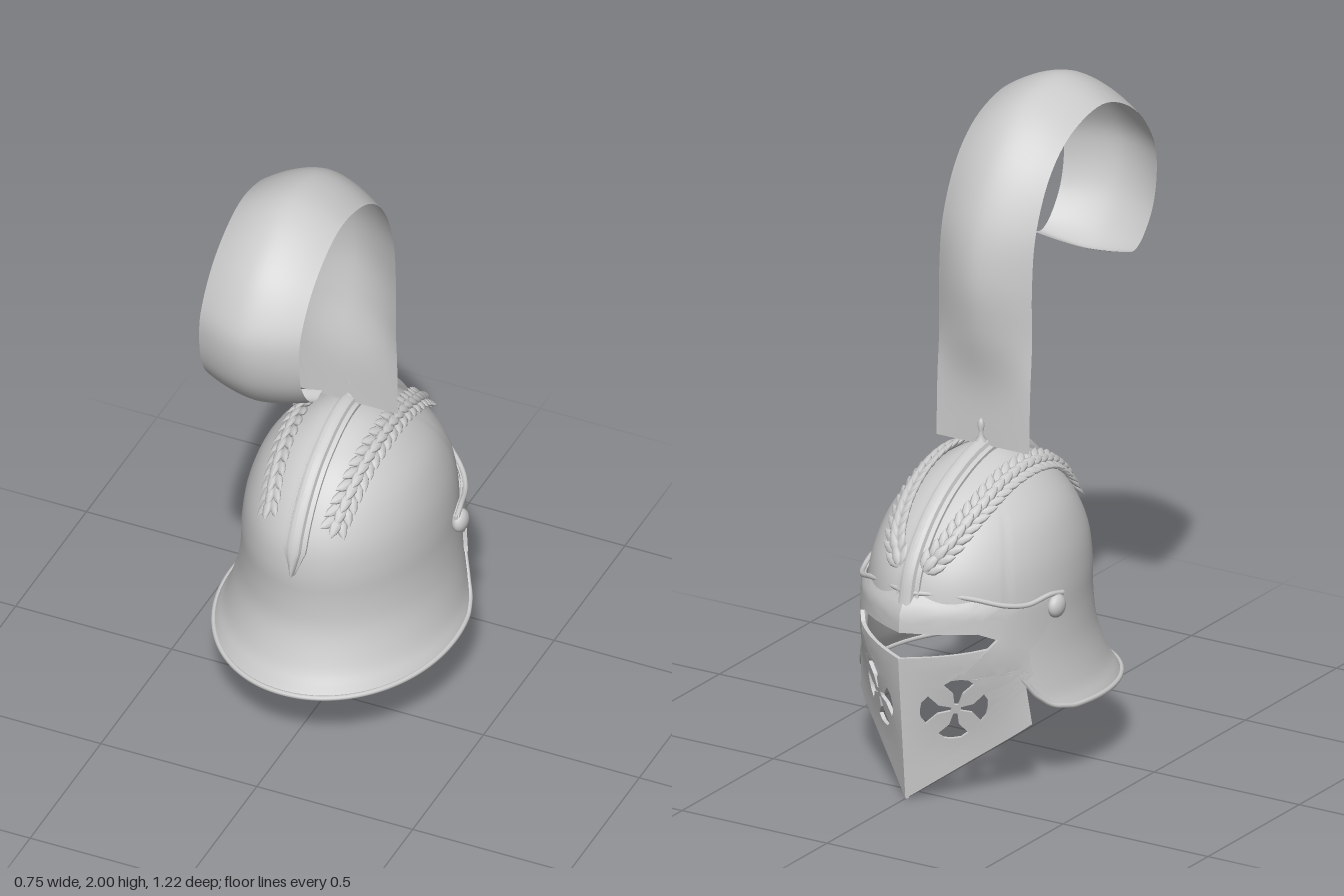
import * as THREE from 'three';
import { mergeGeometries, toCreasedNormals } from 'three/addons/utils/BufferGeometryUtils.js';

const V = (x, y, z) => new THREE.Vector3(x, y, z);
const material = new THREE.MeshStandardMaterial({ color: 0xcccccc, side: THREE.DoubleSide, roughness: 0.6 });

function part(name, geometry) {
  const mesh = new THREE.Mesh(geometry, material);
  mesh.name = name;
  return mesh;
}

// Piecewise linear lookup in [[key, value], ...] with rising keys
function lookup(table, k) {
  let i = 1;
  while (i < table.length - 1 && table[i][0] < k) i++;
  const [k0, v0] = table[i - 1], [k1, v1] = table[i];
  return THREE.MathUtils.lerp(v0, v1, THREE.MathUtils.clamp((k - k0) / (k1 - k0), 0, 1));
}

// Smallest t in 0..1 where a rising test becomes true
function bisect(test) {
  let a = 0, b = 1;
  for (let i = 0; i < 30; i++) { const m = (a + b) / 2; if (test(m)) b = m; else a = m; }
  return b;
}

// Smooth skin over rows of points
function loft(rows) {
  const n = rows[0].length, index = [];
  for (let i = 0; i < rows.length - 1; i++) {
    for (let j = 0; j < n - 1; j++) {
      const a = i * n + j, b = a + n;
      index.push(a, b, a + 1, a + 1, b, b + 1);
    }
  }
  const g = new THREE.BufferGeometry().setFromPoints(rows.flat());
  g.setIndex(index);
  g.computeVertexNormals();
  return g;
}

// Skull levels: height, half width, back z, front z
const levels = [
  [0.22, 0.375, 0.325, -0.55], [0.25, 0.362, 0.305, -0.55], [0.3, 0.34, 0.275, -0.55],
  [0.4, 0.315, 0.24, -0.555], [0.5, 0.302, 0.235, -0.56], [0.6, 0.296, 0.24, -0.56],
  [0.7, 0.279, 0.225, -0.535], [0.8, 0.24, 0.17, -0.465], [0.88, 0.175, 0.095, -0.37],
  [0.93, 0.11, 0.01, -0.27], [0.955, 0.06, -0.055, -0.19], [0.965, 0, -0.12, -0.12],
];
const sizeCurve = new THREE.CatmullRomCurve3(levels.map(([y, w, b, f]) => V(w, y, (b - f) / 2)), false, 'catmullrom');
const midCurve = new THREE.CatmullRomCurve3(levels.map(([y, w, b, f]) => V(0, y, (b + f) / 2)), false, 'catmullrom');

function skullPoint(angle, p) {
  const s = sizeCurve.getPoint(p);
  return V(s.x * Math.sin(angle), s.y, midCurve.getPoint(p).z - s.z * Math.cos(angle));
}

// Drop a point (x, z) onto the skull
function onSkull(x, z) {
  const p = bisect((t) => {
    const s = sizeCurve.getPoint(t), dz = z - midCurve.getPoint(t).z;
    return t > 0.999 || (t > 0.4 && (x / s.x) ** 2 + (dz / s.z) ** 2 > 1);
  });
  return V(x, sizeCurve.getPoint(p).y, z);
}

// Lower edge of the skull by z: face opening in front, brim behind
const edgeHeight = [[-0.56, 0.575], [-0.375, 0.565], [-0.345, 0.37], [-0.31, 0.305], [-0.27, 0.265], [-0.2, 0.248], [0.32, 0.222]];

function skull() {
  const rows = [], start = [], cols = 144;
  for (let j = 0; j <= cols; j++) {
    const y = lookup(edgeHeight, -0.11 - 0.435 * Math.cos((j / cols) * Math.PI * 2));
    start.push(bisect((t) => sizeCurve.getPoint(t).y > y));
  }
  for (let i = 0; i <= 40; i++) {
    rows.push(start.map((p, j) => skullPoint((j / cols) * Math.PI * 2, THREE.MathUtils.lerp(p, 1, i / 40))));
  }
  const edge = new THREE.CatmullRomCurve3(rows[0].slice(0, -1), true);
  return [part('skull', loft(rows)), part('rolledBrim', new THREE.TubeGeometry(edge, 220, 0.008, 8, true))];
}

// Stepped comb over the crown, from back to front
function comb() {
  const path = new THREE.CatmullRomCurve3([
    ...levels.slice(5).map(([y, , b]) => V(0, y, b)),
    ...levels.slice(5, -1).reverse().map(([y, , , f]) => V(0, y, f))]);
  const half = [[0.037, -0.02], [0.037, 0.006], [0.024, 0.009], [0.02, 0.02], [0.01, 0.026]];
  const section = [...half, [0, 0.028], ...half.map(([x, h]) => [-x, h]).reverse()];
  const rows = [];
  for (let i = 0; i <= 60; i++) {
    const c = path.getPointAt(i / 60), t = path.getTangentAt(i / 60);
    const up = V(0, -t.z, t.y), k = Math.min(1, 0.15 + i * 0.2);
    rows.push(section.map(([x, h]) => c.clone().addScaledVector(up, h).setX(x * k)));
  }
  return part('crownComb', toCreasedNormals(loft(rows), 0.6));
}

// Laurel branch: three overlapping leaves at each step along the skull
function laurel() {
  const profile = [[0, 0], [0.012, 0.012], [0.018, 0.032], [0.012, 0.055], [0, 0.074]];
  const leaf = new THREE.LatheGeometry(profile.map(([r, y]) => new THREE.Vector2(r, y)), 8).scale(1, 1, 0.55);
  const plan = [[0.04, -0.53], [0.08, -0.48], [0.112, -0.38], [0.126, -0.25], [0.13, -0.12], [0.124, 0], [0.115, 0.09], [0.105, 0.15]];
  const path = new THREE.CatmullRomCurve3(plan.map(([x, z]) => onSkull(x, z)));
  const leaves = [], count = 22;
  for (let i = 0; i < count; i++) {
    const c = path.getPointAt(i / (count - 1)), t = path.getTangentAt(i / (count - 1));
    const s = onSkull(c.x, c.z);
    const side = onSkull(c.x + 0.01, c.z).sub(s).normalize();
    const up = t.clone().cross(side).normalize();
    side.crossVectors(up, t);
    for (const splay of [-0.6, 0.6, 0]) {
      const dir = t.clone().multiplyScalar(Math.cos(splay)).addScaledVector(side, Math.sin(splay)).addScaledVector(up, 0.12).normalize();
      const x = dir.clone().cross(up).normalize(), z = x.clone().cross(dir);
      const m = new THREE.Matrix4().makeBasis(x, dir, z);
      m.setPosition(s.clone().addScaledVector(up, splay ? 0.005 : 0.012));
      leaves.push(leaf.clone().applyMatrix4(m));
    }
  }
  return part('laurelBranch', mergeGeometries(leaves));
}

// Visor surface: s runs back from the keel, n is the outward offset (right half)
const keel = [[0, -0.57], [0.45, -0.61], [0.59, -0.602], [0.645, -0.565]];
function visorPoint(s, y, n) {
  const blend = THREE.MathUtils.smoothstep(y, 0.12, 0.5);
  const width = (d) => THREE.MathUtils.lerp(1.22 * d, 0.34 * (1 - Math.exp(-d / 0.14)), blend);
  const slope = (width(s + 0.001) - width(s)) / 0.001, len = Math.hypot(slope, 1);
  return V(-width(s) - n / len, y, lookup(keel, y) + s - (n * slope) / len);
}

// Split long edges at their midpoints so flat sheets can bend
function refine(geometry, max) {
  const p = geometry.toNonIndexed().attributes.position, out = [], stack = [];
  for (let i = 0; i < p.count; i += 3) stack.push([0, 1, 2].map((k) => V().fromBufferAttribute(p, i + k)));
  while (stack.length) {
    const t = stack.pop();
    const d = [0, 1, 2].map((k) => t[k].distanceTo(t[(k + 1) % 3]));
    const k = d.indexOf(Math.max(...d));
    if (d[k] <= max) { out.push(...t); continue; }
    const a = t[k], b = t[(k + 1) % 3], c = t[(k + 2) % 3], m = a.clone().add(b).multiplyScalar(0.5);
    stack.push([a, m, c], [m, b, c]);
  }
  return out;
}

function visorHalf() {
  const topEdge = [[0.385, 0.595], [0.33, 0.602], [0.25, 0.592], [0.18, 0.602], [0.1, 0.628], [0.05, 0.64], [0, 0.643]];
  const outline = [
    [0, 0], [0.245, 0.22], [0.24, 0.355], [0.265, 0.375], [0.26, 0.4], [0.26, 0.45], [0.285, 0.47], [0.31, 0.476],
    [0.335, 0.52], [0.365, 0.53], [0.39, 0.56], ...topEdge,
    [0, 0.53], [0.12, 0.525], [0.168, 0.5], [0.145, 0.475], [0, 0.45]];
  const shape = new THREE.Shape(outline.map(([s, y]) => new THREE.Vector2(s, y)));

  // Cross-shaped breaths: four flared arms
  const arm = [[0.014, -0.006], [0.05, -0.014], [0.08, -0.045], [0.095, -0.025], [0.098, 0], [0.095, 0.025], [0.08, 0.045], [0.05, 0.014], [0.014, 0.006]];
  for (let k = 0; k < 4; k++) {
    const c = Math.round(Math.cos(k * Math.PI / 2)), q = Math.round(Math.sin(k * Math.PI / 2));
    shape.holes.push(new THREE.Path(arm.map(([a, b]) => new THREE.Vector2(0.092 + (a * c - b * q) * 0.64, 0.285 + a * q + b * c))));
  }
  const sheet = new THREE.ExtrudeGeometry(shape, { depth: 0.012, bevelEnabled: false });
  const points = refine(sheet, 0.035).map((v) => visorPoint(v.x, v.y, v.z - 0.012));
  const plate = new THREE.BufferGeometry().setFromPoints(points);

  const rim = new THREE.CatmullRomCurve3(topEdge.map(([s, y]) => visorPoint(s, y, 0)));
  const boss = new THREE.SphereGeometry(0.036, 24, 16).scale(0.65, 1, 1).translate(-0.316, 0.562, -0.243);
  const half = new THREE.Group();
  half.add(
    part('visorPlate', toCreasedNormals(plate, 0.5)),
    part('visorRim', new THREE.TubeGeometry(rim, 50, 0.008, 8)),
    part('visorPivot', boss));
  return half;
}

// Curled plume: a ribbon bulging outward along its middle line
function plume() {
  const middle = [[-0.145, 0.97], [-0.15, 1.15], [-0.185, 1.33], [-0.2, 1.5], [-0.17, 1.67], [-0.08, 1.84], [0.05, 1.955], [0.22, 2],
    [0.36, 1.975], [0.5, 1.88], [0.59, 1.75], [0.61, 1.65], [0.585, 1.53], [0.52, 1.435], [0.45, 1.395], [0.4, 1.41]];
  const border = [[-0.145, 0.97], [-0.14, 1.15], [-0.13, 1.3], [-0.13, 1.48], [-0.11, 1.64], [-0.04, 1.79], [0.07, 1.89], [0.22, 1.935],
    [0.34, 1.915], [0.46, 1.84], [0.54, 1.73], [0.555, 1.63], [0.535, 1.53], [0.485, 1.455], [0.435, 1.422], [0.39, 1.43]];
  const [mid, rim] = [middle, border].map((l) => new THREE.CatmullRomCurve3(l.map(([z, y]) => V(0, y, z)), false, 'catmullrom'));
  const rows = [];
  for (let i = 0; i <= 80; i++) {
    const a = mid.getPoint(i / 80), b = rim.getPoint(i / 80), row = [];
    for (let j = -8; j <= 8; j++) row.push(a.clone().lerp(b, Math.abs(j / 8) ** 1.7).setX(j * 0.02));
    rows.push(row);
  }
  return part('plume', loft(rows));
}

export function createModel() {
  const model = new THREE.Group();
  model.name = 'plumedHelmet';
  model.add(...skull(), comb(), plume());

  // Finial holding the plume
  const finial = [[0.02, 0.97], [0.016, 0.99], [0.008, 1], [0.008, 1.02], [0.011, 1.035], [0.007, 1.05], [0, 1.056]];
  model.add(part('plumeHolder', new THREE.LatheGeometry(finial.map(([r, y]) => new THREE.Vector2(r, y)), 16).translate(0, 0, -0.155)));

  // Paired parts, mirrored across x
  for (const side of [1, -1]) {
    const branch = laurel(), visor = visorHalf();
    branch.name = side > 0 ? 'leftLaurel' : 'rightLaurel';
    visor.name = side > 0 ? 'leftVisor' : 'rightVisor';
    branch.scale.x = side;
    visor.scale.x = -side;
    model.add(branch, visor);
  }
  return model;
}
